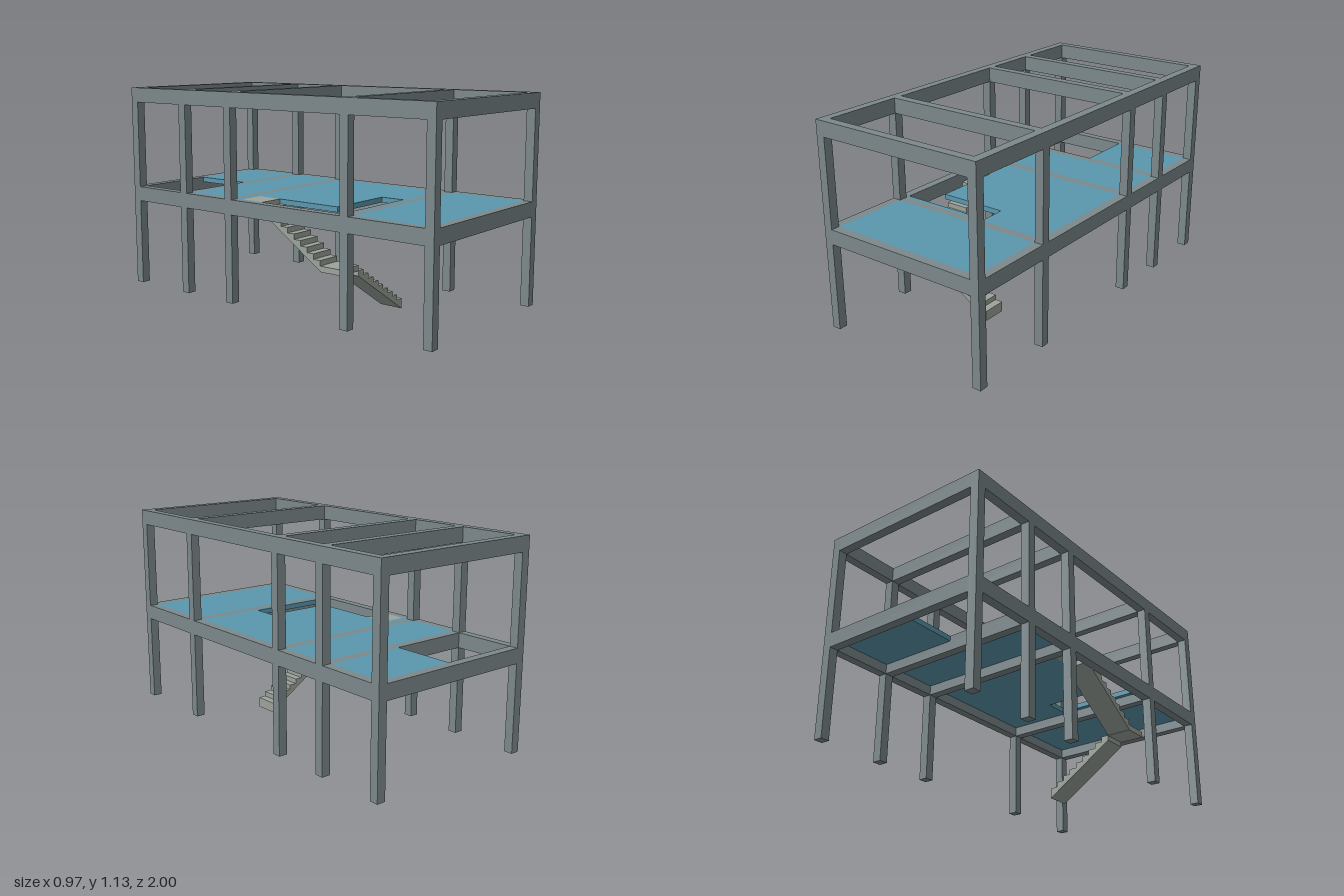
import * as THREE from 'three';

const concrete = new THREE.MeshStandardMaterial({ color: 0x7c888b });
const slabBlue = new THREE.MeshStandardMaterial({ color: 0x5a97ad });
const stairGrey = new THREE.MeshStandardMaterial({ color: 0x9ca39b });

const HALF = 0.463;                              // column centre in x
const ROWS = [0.976, 0.5, -0.26, -0.595, -0.976]; // column centres in z
const W = 0.048;                                 // column and beam width
const BASE = 0.026, FLOOR = 0.58, TOP = 1.135, DEPTH = 0.08;
const IN = HALF - W / 2;                         // inner face of the side beams
const RISE = 0.0277, TREAD = 0.0422, STEPS = 9;
const SLAB = 0.028;

// Box given by its extents
function box(name, mat, x0, x1, y0, y1, z0, z1) {
  const m = new THREE.Mesh(new THREE.BoxGeometry(x1 - x0, y1 - y0, z1 - z0), mat);
  m.position.set((x0 + x1) / 2, (y0 + y1) / 2, (z0 + z1) / 2);
  m.name = name;
  return m;
}

// Floor plate from an outline of [x, z] points, its top flush with the beams
function slab(name, outline) {
  const shape = new THREE.Shape(outline.map(([x, z]) => new THREE.Vector2(x, -z)));
  const geo = new THREE.ExtrudeGeometry(shape, { depth: SLAB, bevelEnabled: false });
  geo.rotateX(-Math.PI / 2);
  const m = new THREE.Mesh(geo, slabBlue);
  m.position.y = FLOOR - SLAB;
  m.name = name;
  return m;
}

// Straight flight climbing along +x from the origin, with a sloping underside
function flight(name, width) {
  const s = new THREE.Shape();
  s.moveTo(0, 0);
  s.lineTo(STEPS * TREAD, STEPS * RISE);
  for (let i = STEPS; i > 0; i--) {
    s.lineTo(i * TREAD, (i + 1) * RISE);
    s.lineTo((i - 1) * TREAD, (i + 1) * RISE);
  }
  s.closePath();
  const m = new THREE.Mesh(
    new THREE.ExtrudeGeometry(s, { depth: width, bevelEnabled: false }), stairGrey);
  m.name = name;
  return m;
}

export function createModel() {
  const model = new THREE.Group();
  model.name = 'concreteFrameBuilding';

  // Columns
  const columns = new THREE.Group();
  columns.name = 'columns';
  for (const x of [-HALF, HALF]) for (const z of ROWS)
    columns.add(box('column', concrete, x - W / 2, x + W / 2, BASE, TOP, z - W / 2, z + W / 2));
  model.add(columns);

  // Beams at both levels: one cross beam per row, side beams between rows
  for (const [name, y] of [['floorBeams', FLOOR], ['roofBeams', TOP]]) {
    const beams = new THREE.Group();
    beams.name = name;
    ROWS.forEach((z, i) => {
      beams.add(box('crossBeam', concrete, -IN, IN, y - DEPTH, y, z - W / 2, z + W / 2));
      if (i === ROWS.length - 1) return;
      for (const x of [-HALF, HALF])
        beams.add(box('sideBeam', concrete, x - W / 2, x + W / 2, y - DEPTH, y,
          ROWS[i + 1] + W / 2, z - W / 2));
    });
    model.add(beams);
  }

  // Stair plan: lower flight climbs toward -x, upper flight toward -z
  const sx = -0.305, sz = 0.32, front = 0.452;
  const upperEnd = sz - STEPS * TREAD, platformEnd = -0.2;
  const lowerStart = sx + STEPS * TREAD;

  // Floor slabs: front bay, stair bay with an L-shaped opening, third bay, half rear bay
  const slabs = new THREE.Group();
  slabs.name = 'floorSlabs';
  const bay = (i) => [ROWS[i + 1] + W / 2, ROWS[i] - W / 2];
  const rect = (x0, x1, [z0, z1]) => [[x0, z1], [x1, z1], [x1, z0], [x0, z0]];
  const [b0, b1] = bay(1);
  slabs.add(
    slab('frontSlab', rect(-IN, IN, bay(0))),
    slab('stairBaySlab', [
      [-IN, b1], [IN, b1], [IN, b0], [-IN, b0], [-IN, platformEnd], [sx, platformEnd],
      [sx, sz], [lowerStart, sz], [lowerStart, front], [-IN, front]]),
    slab('thirdSlab', rect(-IN, IN, bay(2))),
    slab('rearHalfSlab', rect(0, IN, bay(3))));
  model.add(slabs);

  // Staircase
  const stairs = new THREE.Group();
  stairs.name = 'staircase';
  const lower = flight('lowerFlight', front - sz);
  lower.rotation.y = Math.PI;
  lower.position.set(lowerStart, 0, front);
  const upper = flight('upperFlight', sx + IN);
  upper.rotation.y = Math.PI / 2;
  upper.position.set(-IN, (STEPS + 1) * RISE, sz);
  const mid = (STEPS + 1) * RISE;
  stairs.add(lower, upper,
    box('landing', stairGrey, -IN, sx, mid - 0.002, mid + RISE, sz, front),
    box('topPlatform', stairGrey, -IN, sx, FLOOR - SLAB, FLOOR, platformEnd, upperEnd));
  model.add(stairs);

  return model;
}
